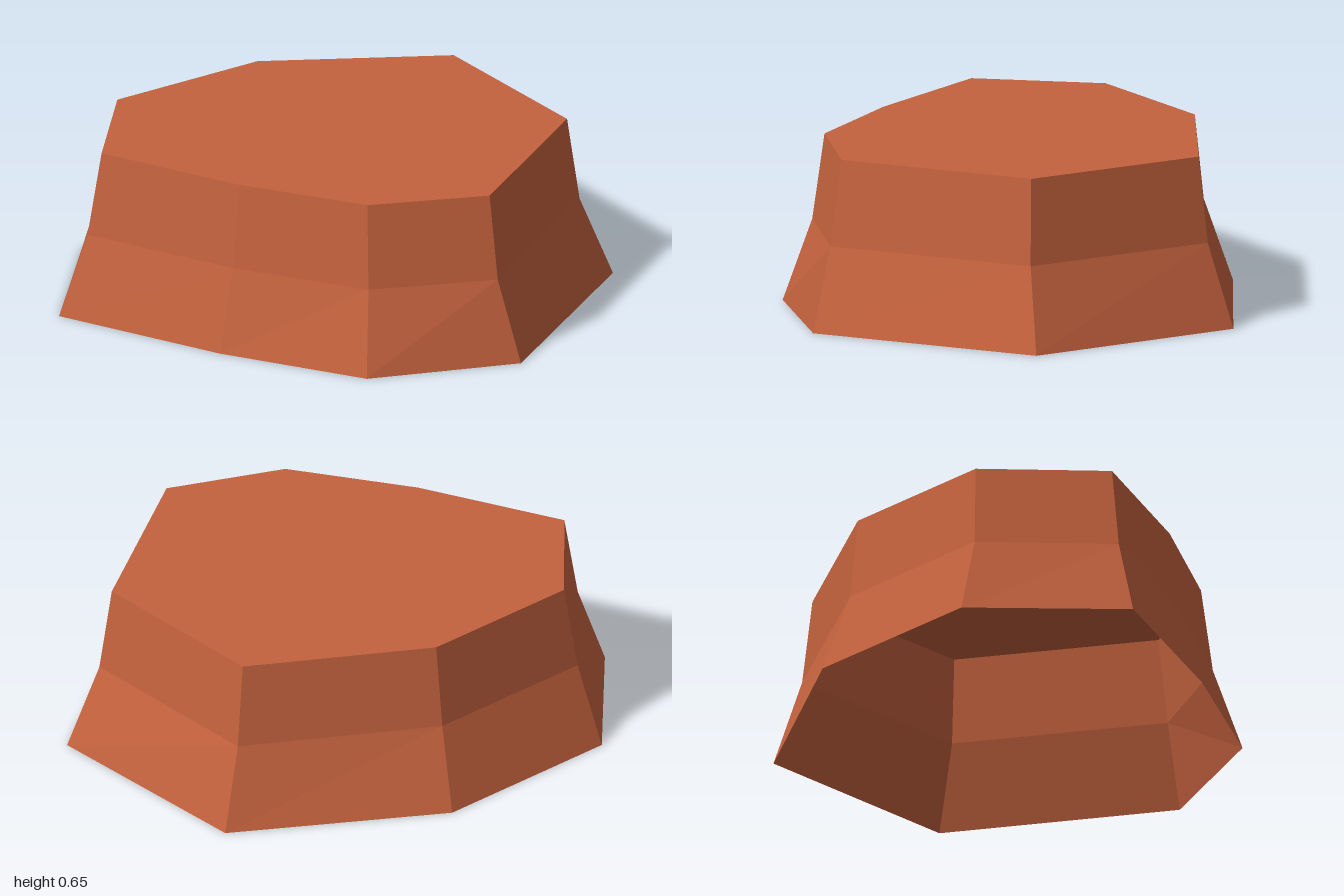
import * as THREE from 'three';

// Outline corners [x, z] at the foot and at the flat top, clockwise from the back
const FOOT = [[-0.01, -0.91], [0.82, -0.59], [1.0, 0.33], [0.59, 0.775], [-0.01, 0.875], [-0.72, 0.905], [-1.0, 0.315], [-0.715, -0.39]];
const TOP = [[-0.005, -0.75], [0.69, -0.47], [0.845, 0.31], [0.505, 0.64], [-0.01, 0.74], [-0.615, 0.77], [-0.845, 0.305], [-0.6, -0.295]];
const HEIGHT = 0.65;
const WAIST = 0.32;

function flatMesh(name, positions, material) {
  const geometry = new THREE.BufferGeometry();
  geometry.setAttribute('position', new THREE.Float32BufferAttribute(positions.flat(), 3));
  geometry.computeVertexNormals();
  const mesh = new THREE.Mesh(geometry, material);
  mesh.name = name;
  return mesh;
}

export function createModel() {
  const clay = new THREE.MeshStandardMaterial({ color: 0xc4623e, side: THREE.DoubleSide });
  clay.name = 'red clay';

  const ring = (points, y, scale = 1) => points.map(([x, z]) => [x * scale, y, z * scale]);
  const foot = ring(FOOT, 0);
  const waist = ring(TOP, WAIST, 1.057);
  const top = ring(TOP, HEIGHT);

  // A band of quads joining two rings, facing outward
  const band = (low, high) => low.flatMap((a, i) => {
    const j = (i + 1) % low.length;
    return [low[j], a, high[i], low[j], high[i], high[j]];
  });

  // Flat plateau as a fan, facing up
  const cap = top.flatMap((p, i) => [[0, HEIGHT, 0], top[(i + 1) % top.length], p]);

  const group = new THREE.Group();
  group.name = 'mesaRock';
  group.add(
    flatMesh('lowerSlope', band(foot, waist), clay),
    flatMesh('upperSlope', band(waist, top), clay),
    flatMesh('plateau', cap, clay),
  );
  return group;
}
